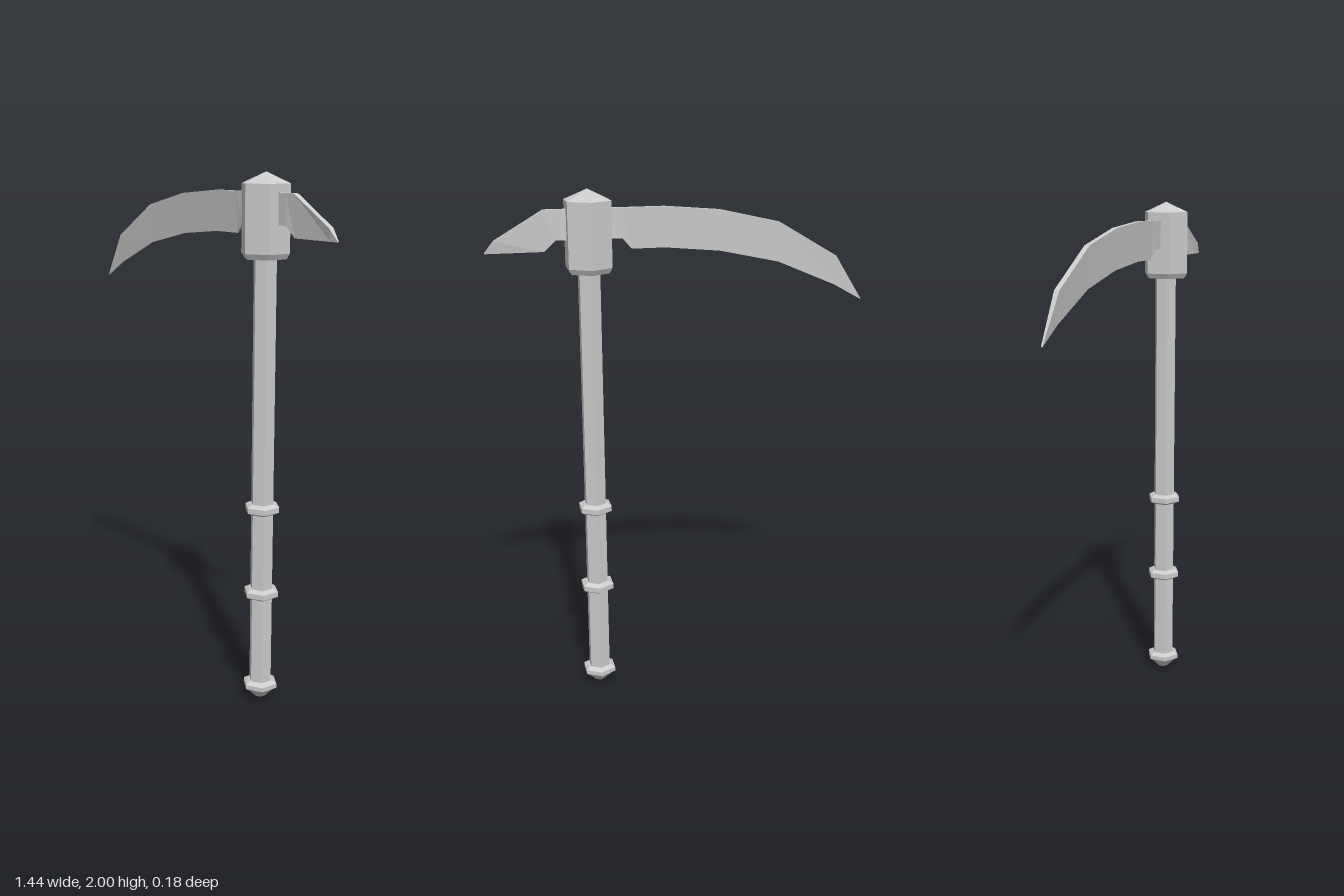
import * as THREE from 'three';

const material = new THREE.MeshStandardMaterial({ color: 0xcccccc, flatShading: true });
const HANDLE_X = 0.345;

// Six-sided turned part from [radius, y] pairs, listed bottom to top
function hexTurned(name, profile) {
  const points = profile.map(([r, y]) => new THREE.Vector2(r, y));
  const mesh = new THREE.Mesh(new THREE.LatheGeometry(points, 6), material);
  mesh.name = name;
  mesh.position.x = HANDLE_X;
  return mesh;
}

// Blade skinned over stations [x, spineY, edgeY, spineHalf, edgeHalf], from -x to +x
function bladeGeometry(stations) {
  const positions = [];
  const index = [];
  for (const [x, top, bottom, t, b] of stations) {
    positions.push(x, top, t, x, top, -t, x, bottom, -b, x, bottom, b);
  }
  for (let i = 0; i < stations.length - 1; i++) {
    for (let k = 0; k < 4; k++) {
      const a = i * 4 + k, b = i * 4 + (k + 1) % 4;
      index.push(a, a + 4, b, b, a + 4, b + 4);
    }
  }
  const last = (stations.length - 1) * 4;
  index.push(0, 1, 2, 0, 2, 3, last, last + 2, last + 1, last, last + 3, last + 2);
  const geometry = new THREE.BufferGeometry();
  geometry.setAttribute('position', new THREE.Float32BufferAttribute(positions, 3));
  geometry.setIndex(index);
  const flat = geometry.toNonIndexed();
  flat.computeVertexNormals();
  return flat;
}

export function createModel() {
  const model = new THREE.Group();
  model.name = 'pickaxe';

  // Shaft and head block
  model.add(hexTurned('shaft', [[0, 0.05], [0.044, 0.05], [0.044, 1.72], [0, 1.72]]));
  model.add(hexTurned('head', [[0, 1.7], [0.08, 1.7], [0.092, 1.72], [0.092, 1.96], [0, 2]]));

  // Grip rings
  for (const y of [0.44, 0.775]) {
    model.add(hexTurned('gripRing', [
      [0.04, y - 0.02], [0.05, y - 0.02], [0.068, y - 0.01],
      [0.068, y + 0.01], [0.05, y + 0.02], [0.04, y + 0.02],
    ]));
  }

  // Pommel
  model.add(hexTurned('pommel', [
    [0, 0], [0.02, 0.01], [0.052, 0.042], [0.068, 0.053],
    [0.068, 0.07], [0.05, 0.08], [0.04, 0.08],
  ]));

  // Long curved blade and short pick, one strip through the head
  const s = 0.01, e = 0.002;
  const blade = new THREE.Mesh(bladeGeometry([
    [-0.72, 1.555, 1.55, 0.003, e],
    [-0.61, 1.725, 1.612, s, e],
    [-0.38, 1.86, 1.71, s, e],
    [-0.15, 1.912, 1.76, s, e],
    [0.06, 1.93, 1.78, s, e],
    [0.185, 1.93, 1.78, s, e],
    [0.22, 1.93, 1.82, s, 0.008],
    [0.465, 1.93, 1.82, s, 0.008],
    [0.505, 1.93, 1.78, s, e],
    [0.685, 1.825, 1.78, s, e],
    [0.72, 1.783, 1.78, 0.003, e],
  ]), material);
  blade.name = 'blade';
  model.add(blade);

  return model;
}
